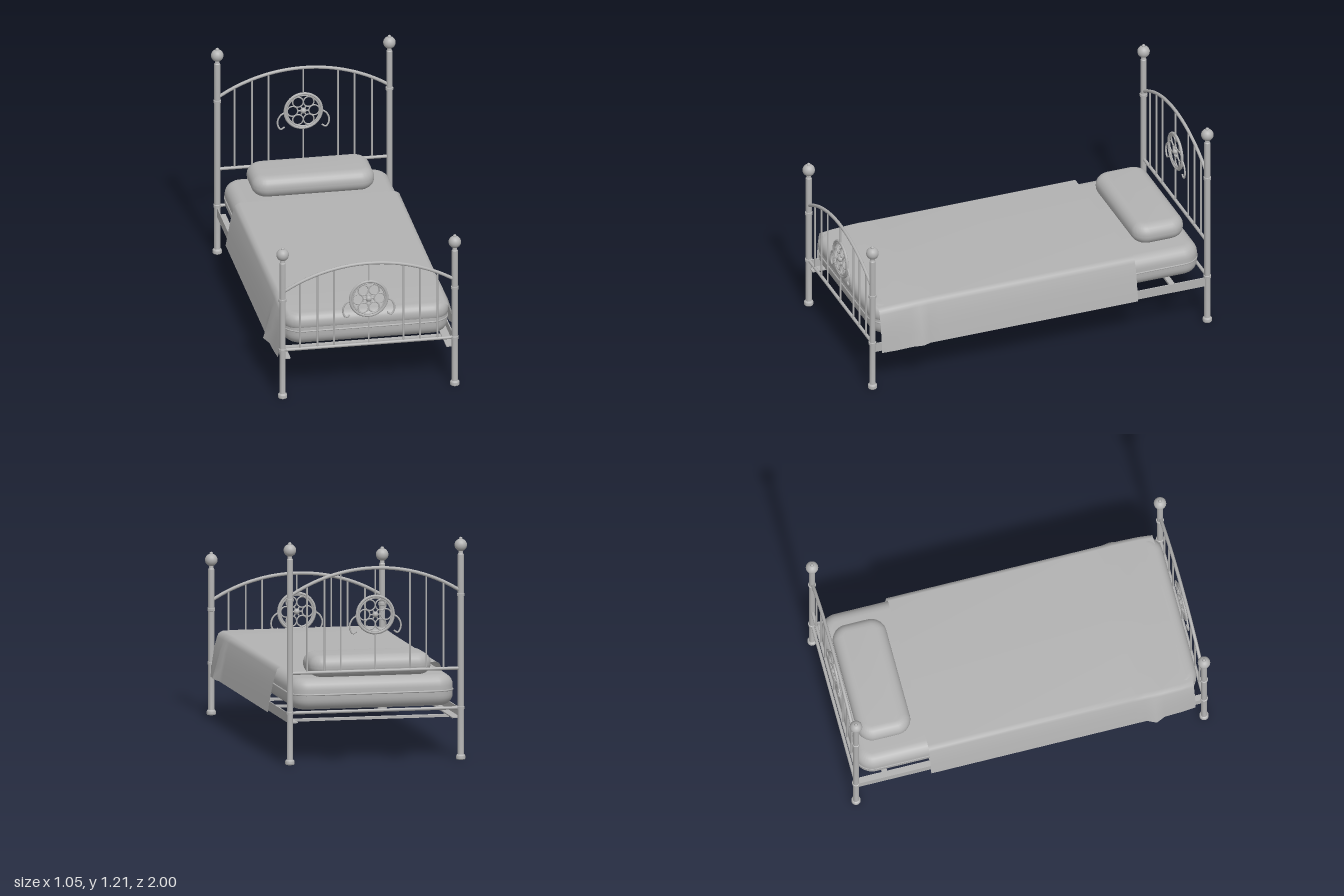
import * as THREE from 'three';
import { toCreasedNormals } from 'three/addons/utils/BufferGeometryUtils.js';

const metal = new THREE.MeshStandardMaterial({ color: 0xb2b2b2, side: THREE.DoubleSide });
metal.name = 'plain grey';

const V = (x, y, z) => new THREE.Vector3(x, y, z);
const POST_X = 0.47, POST_Z = 0.965;

function add(parent, name, geo, x = 0, y = 0, z = 0) {
  const m = new THREE.Mesh(geo, metal);
  m.name = name;
  m.position.set(x, y, z);
  parent.add(m);
  return m;
}

function bar(parent, name, a, b, r) {
  const g = new THREE.CylinderGeometry(r, r, a.distanceTo(b), 10);
  const m = add(parent, name, g);
  m.position.copy(a).add(b).multiplyScalar(0.5);
  m.quaternion.setFromUnitVectors(V(0, 1, 0), b.clone().sub(a).normalize());
}

function tube(parent, name, pts, r, closed = false, seg = 48) {
  const curve = new THREE.CatmullRomCurve3(pts, closed);
  return add(parent, name, new THREE.TubeGeometry(curve, seg, r, 8, closed));
}

function roundedRect(w, d, r) {
  const x = w / 2, y = d / 2, s = new THREE.Shape();
  s.absarc(x - r, y - r, r, 0, Math.PI / 2);
  s.absarc(-x + r, y - r, r, Math.PI / 2, Math.PI);
  s.absarc(-x + r, -y + r, r, Math.PI, Math.PI * 1.5);
  s.absarc(x - r, -y + r, r, Math.PI * 1.5, Math.PI * 2);
  s.closePath();
  return s;
}

// Cushion lying flat, base at y = 0, with rounded corners and rims
function cushion(w, h, d, corner, bevel) {
  const g = new THREE.ExtrudeGeometry(roundedRect(w - 2 * bevel, d - 2 * bevel, corner - bevel), {
    depth: h - 2 * bevel, bevelSize: bevel, bevelThickness: bevel, bevelSegments: 6, curveSegments: 8,
  });
  g.rotateX(-Math.PI / 2).translate(0, bevel, 0);
  return toCreasedNormals(g, 0.8);
}

// Post with foot, collars, ball and finial; `ball` is the ball's height
function post(parent, x, z, ball, collar) {
  const r = 0.0165;
  const p = [[0, 0], [0.022, 0], [0.025, 0.004], [0.025, 0.02], [0.021, 0.026], [r, 0.028]];
  for (const y of [0.28, collar]) {
    p.push([r, y - 0.009], [0.021, y - 0.007], [0.021, y + 0.007], [r, y + 0.009]);
  }
  p.push([r, ball - 0.05], [0.013, ball - 0.045], [0.012, ball - 0.028], [0, ball - 0.028]);
  const g = new THREE.LatheGeometry(p.map(([a, b]) => new THREE.Vector2(a, b)), 20);
  add(parent, 'post', toCreasedNormals(g, 0.6), x, 0, z);
  add(parent, 'postBall', new THREE.SphereGeometry(0.034, 20, 14), x, ball, z);
  add(parent, 'postFinial', new THREE.SphereGeometry(0.01, 12, 8), x, ball + 0.034, z);
}

// Round flower medallion with a scroll hook on either side
function medallion(parent, y, z) {
  const g = new THREE.Group();
  g.name = 'medallion';
  g.position.set(0, y, z);
  parent.add(g);
  add(g, 'outerRing', new THREE.TorusGeometry(0.1, 0.008, 8, 40));
  add(g, 'innerRing', new THREE.TorusGeometry(0.09, 0.005, 6, 40));
  add(g, 'centreBoss', new THREE.SphereGeometry(0.017, 14, 10));
  for (let i = 0; i < 6; i++) {
    const a = (i * Math.PI) / 3, c = Math.cos(a), s = Math.sin(a);
    add(g, 'petal', new THREE.TorusGeometry(0.029, 0.004, 6, 20), c * 0.059, s * 0.059, 0);
    bar(g, 'spoke', V(0, 0, 0), V(c * 0.03, s * 0.03, 0), 0.004);
  }
  for (const s of [-1, 1]) {
    const pts = [[0.104, -0.005], [0.125, -0.02], [0.14, -0.05], [0.137, -0.082], [0.122, -0.1], [0.102, -0.088]];
    tube(g, 'scrollHook', pts.map(([a, b]) => V(s * a, b, 0)), 0.005, false, 20);
  }
}

// One bed end: posts, arch, rails, spindles and medallion
function bedEnd(name, z, o) {
  const g = new THREE.Group();
  g.name = name;
  const half = 0.46, sag = o.top - o.side;
  const R = (half * half + sag * sag) / (2 * sag);
  const archY = (x) => o.top - R + Math.sqrt(R * R - x * x);
  for (const s of [-1, 1]) post(g, s * POST_X, z, o.ball, o.collar);
  const arc = [];
  for (let i = 0; i <= 16; i++) {
    const x = half * (i / 8 - 1);
    arc.push(V(x, archY(x), z));
  }
  tube(g, 'archRail', arc, 0.0095);
  for (const y of o.rails) bar(g, 'crossRail', V(-POST_X, y, z), V(POST_X, y, z), 0.009);
  const base = Math.max(...o.rails);
  for (const x of [0.19, 0.28, 0.375]) {
    for (const s of [-1, 1]) bar(g, 'spindle', V(s * x, base, z), V(s * x, archY(x), z), 0.005);
  }
  bar(g, 'upperCentreSpindle', V(0, o.medal + 0.1, z), V(0, o.top, z), 0.005);
  bar(g, 'lowerCentreSpindle', V(0, base, z), V(0, o.medal - 0.1, z), 0.005);
  medallion(g, o.medal, z);
  return g;
}

// Blanket sheet lofted along z: each station is [z, top, hem x, hem y, shoulder x]
function blanketGeometry() {
  const stations = [
    [-0.555, 0.475, 0.5, 0.228, 0.455], [0.58, 0.475, 0.5, 0.228, 0.455],
    [0.64, 0.475, 0.5, 0.228, 0.456], [0.69, 0.475, 0.526, 0.235, 0.458],
    [0.74, 0.473, 0.5, 0.224, 0.458], [0.84, 0.469, 0.494, 0.218, 0.456], [0.915, 0.463, 0.486, 0.215, 0.45],
  ];
  const pos = [], idx = [], n = 13;
  for (const [z, top, hx, hy, sx] of stations) {
    const side = [[hx, hy], [sx + (hx - sx) * 0.72, 0.3], [sx + (hx - sx) * 0.38, 0.38],
      [sx, top - 0.035], [sx - 0.008, top - 0.014], [sx - 0.03, top - 0.002]];
    const row = [...side.map(([x, y]) => [-x, y]), [0, top], ...side.reverse()];
    for (const [x, y] of row) pos.push(x, y, z);
  }
  for (let j = 0; j < stations.length - 1; j++) {
    for (let i = 0; i < n - 1; i++) {
      const a = j * n + i, b = a + n;
      idx.push(a, b, b + 1, a, b + 1, a + 1);
    }
  }
  const g = new THREE.BufferGeometry();
  g.setAttribute('position', new THREE.Float32BufferAttribute(pos, 3));
  g.setIndex(idx);
  g.computeVertexNormals();
  return g;
}

export function createModel() {
  const bed = new THREE.Group();
  bed.name = 'bed';

  bed.add(bedEnd('headboard', -POST_Z, { top: 1.053, side: 0.92, ball: 1.163, collar: 0.893, rails: [0.28, 0.495], medal: 0.8 }));
  bed.add(bedEnd('footboard', POST_Z, { top: 0.753, side: 0.625, ball: 0.84, collar: 0.572, rails: [0.28], medal: 0.545 }));

  // Angle-iron side rails and slats
  for (const s of [-1, 1]) {
    add(bed, 'sideRail', new THREE.BoxGeometry(0.006, 0.05, 1.92), s * 0.472, 0.25, 0);
    add(bed, 'sideRailFlange', new THREE.BoxGeometry(0.05, 0.006, 1.92), s * 0.45, 0.226, 0);
  }
  for (let i = -3; i <= 3; i++) {
    add(bed, 'slat', new THREE.BoxGeometry(0.88, 0.013, 0.03), 0, 0.216, i * 0.265);
  }

  // Mattress with piping round its middle
  add(bed, 'mattress', cushion(0.9, 0.17, 1.89, 0.1, 0.06), 0, 0.285, 0);
  const outline = roundedRect(0.9, 1.89, 0.1).getPoints(8).slice(0, -1);
  const loop = new THREE.CurvePath();
  outline.forEach((p, i) => {
    const q = outline[(i + 1) % outline.length];
    if (p.distanceTo(q) > 1e-5) loop.add(new THREE.LineCurve3(V(p.x, 0.37, p.y), V(q.x, 0.37, q.y)));
  });
  add(bed, 'mattressPiping', new THREE.TubeGeometry(loop, 240, 0.005, 6, true));

  // Blanket drape, with its end tucked down over the foot of the mattress
  add(bed, 'blanket', blanketGeometry());
  add(bed, 'blanketTuck', cushion(0.908, 0.1, 0.3, 0.1, 0.045), 0, 0.365, 0.799);

  // Pillow, slightly domed towards the middle
  const pillow = cushion(0.67, 0.115, 0.295, 0.085, 0.055);
  const p = pillow.attributes.position;
  for (let i = 0; i < p.count; i++) {
    const x = p.getX(i) / 0.335;
    if (p.getY(i) > 0.06) p.setY(i, p.getY(i) + 0.008 * (1 - x * x));
  }
  add(bed, 'pillow', pillow, 0, 0.452, -0.757);

  return bed;
}
